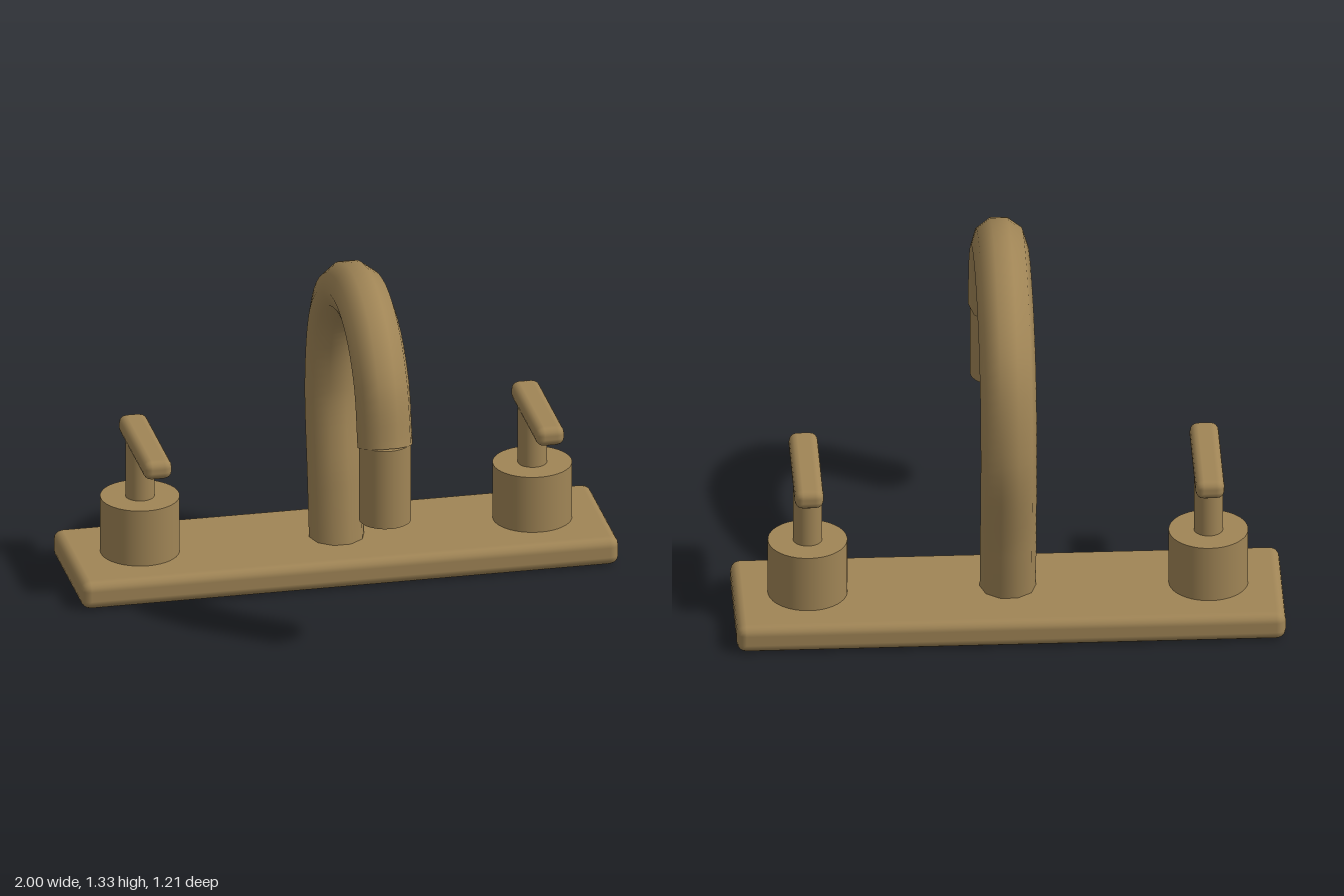
import * as THREE from 'three';
import { RoundedBoxGeometry } from 'three/addons/geometries/RoundedBoxGeometry.js';

export function createModel() {
  const model = new THREE.Group();
  model.name = 'faucet';
  const brass = new THREE.MeshStandardMaterial({ color: 0xa08556 });
  brass.name = 'brushed brass';
  brass.side = THREE.DoubleSide;

  const add = (parent, name, geometry, x, y, z) => {
    const mesh = new THREE.Mesh(geometry, brass);
    mesh.name = name;
    mesh.position.set(x, y, z);
    parent.add(mesh);
    return mesh;
  };
  const cylinder = (radius, height) => new THREE.CylinderGeometry(radius, radius, height, 40);

  // Deck plate with softened edges
  add(model, 'deckPlate', new RoundedBoxGeometry(2, 0.107, 0.535, 2, 0.035), 0, 0.0535, -0.3375);

  // Gooseneck spout, [z, y] points along its centre line
  const path = new THREE.CatmullRomCurve3([
    [-0.325, 0.09], [-0.357, 0.325], [-0.402, 0.7], [-0.325, 1.0], [-0.13, 1.17],
    [0.12, 1.228], [0.315, 1.17], [0.45, 1.03], [0.51, 0.815],
  ].map(([z, y]) => new THREE.Vector3(0, y, z)));
  add(model, 'spout', new THREE.TubeGeometry(path, 48, 0.1025, 10), 0, 0, 0);

  // Straight nozzle at the end of the spout
  add(model, 'nozzle', cylinder(0.095, 0.308), 0, 0.679, 0.511);

  // Two lever valves
  for (const side of [-1, 1]) {
    const valve = new THREE.Group();
    valve.name = side > 0 ? 'leftValve' : 'rightValve';
    valve.position.set(side * 0.73, 0, -0.336);
    add(valve, 'valveBase', cylinder(0.145, 0.225), 0, 0.2125, 0);
    add(valve, 'valveStem', cylinder(0.053, 0.23), 0, 0.425, 0);
    add(valve, 'lever', new RoundedBoxGeometry(0.106, 0.074, 0.475, 2, 0.03), 0, 0.558, 0.094);
    model.add(valve);
  }
  return model;
}
